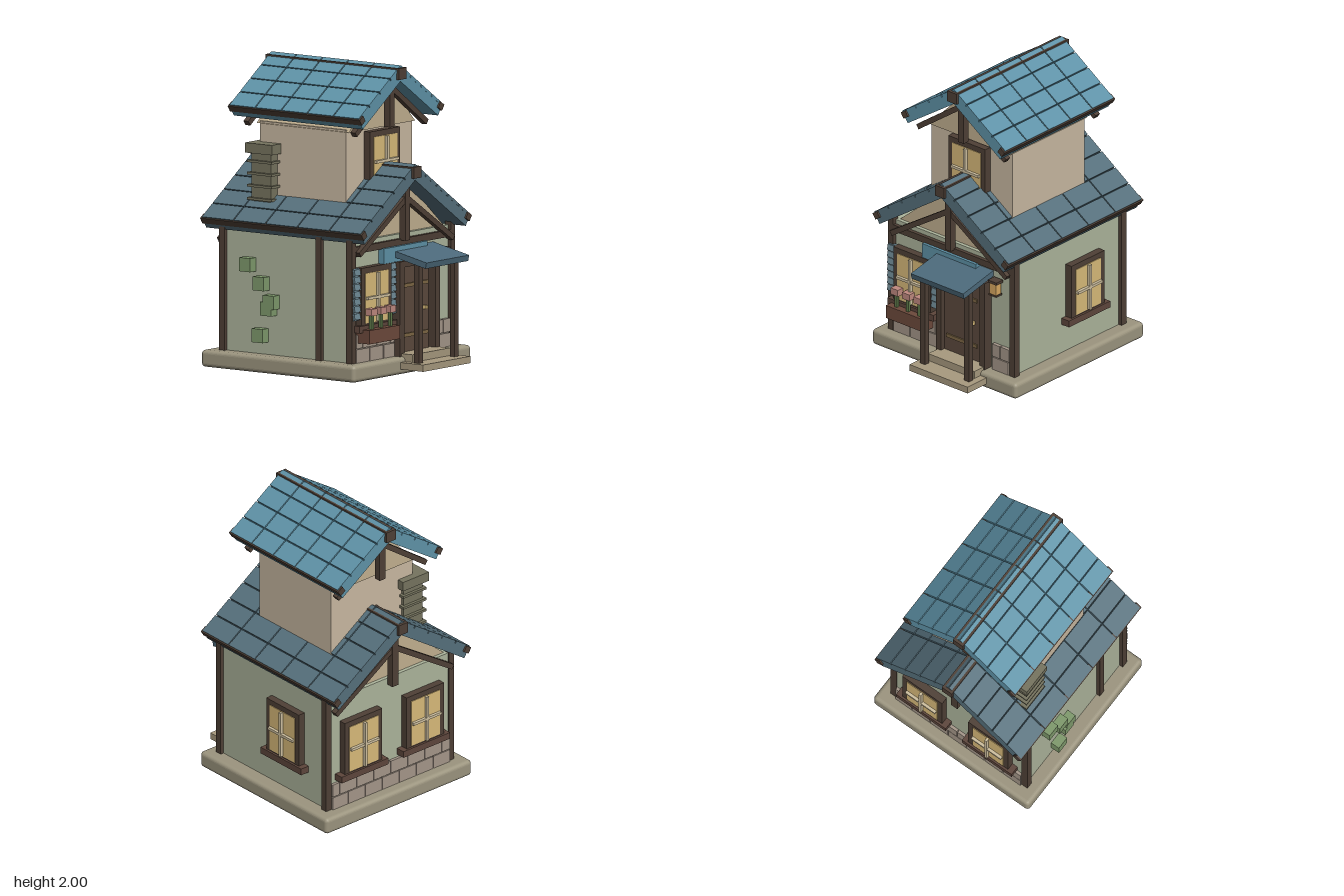
import * as THREE from 'three';
import { RoundedBoxGeometry } from 'three/addons/geometries/RoundedBoxGeometry.js';

const C = -0.075; // house centre in z
const COL = {
  base: 0x9c957f, step: 0xa89a7f, wall: 0xadb59c, plaster: 0xc9b9a2, gable: 0xc2b090,
  timber: 0x4f4036, sill: 0x5e463c, door: 0x5c493d, hinge: 0x7d6745, glass: 0xd9bb7a,
  muntin: 0xcfc0a0, lowRoof: 0x56707c, highRoof: 0x5f93a8, porch: 0x4d6b7c, chimney: 0x76745f,
  stone: 0xa5978a, shutter: 0x6b8590, planter: 0x6d4a3c, petal: 0xc08a80, stem: 0x5f7a4a,
  vine: 0x7f9a6c, lamp: 0xd8a860,
};
const mats = {};
const mat = (c) => (mats[c] ??= new THREE.MeshStandardMaterial({ color: COL[c], flatShading: true }));

function add(parent, name, geo, color, x = 0, y = 0, z = 0) {
  const m = new THREE.Mesh(geo, mat(color));
  m.name = name;
  m.position.set(x, y, z);
  parent.add(m);
  return m;
}
const box = (p, name, color, w, h, d, x, y, z) => add(p, name, new THREE.BoxGeometry(w, h, d), color, x, y, z);
// Box given by its limits on each axis
const span = (p, name, color, x0, x1, y0, y1, z0, z1) =>
  box(p, name, color, x1 - x0, y1 - y0, z1 - z0, (x0 + x1) / 2, (y0 + y1) / 2, (z0 + z1) / 2);

function group(parent, name, x = 0, y = 0, z = 0, ry = 0) {
  const g = new THREE.Group();
  g.name = name;
  g.position.set(x, y, z);
  g.rotation.y = ry;
  parent.add(g);
  return g;
}

// Gable roof: two tiled slopes, eave boards, ridge beam
function roof(parent, name, color, peak, half, depth, rows) {
  const a = Math.atan(0.67), L = half / Math.cos(a), cols = 5, gap = 0.008;
  const g = group(parent, name, 0, peak, C);
  for (const s of [-1, 1]) {
    const slope = group(g, 'roofSlope');
    slope.rotation.z = -s * a;
    box(slope, 'roofSlab', color, L, 0.07, depth - 0.01, s * L / 2, -0.053, 0);
    const tw = L / rows, td = depth / cols;
    for (let r = 0; r < rows; r++)
      for (let c = 0; c < cols; c++)
        box(slope, 'roofTile', color, tw - gap, 0.018, td - gap,
          s * (r + 0.5) * tw, -0.009, (c + 0.5) * td - depth / 2);
    box(slope, 'eaveBoard', 'timber', 0.046, 0.044, depth + 0.015, s * (L - 0.018), -0.028, 0);
  }
  box(g, 'ridgeBeam', 'timber', 0.08, 0.075, depth + 0.03, 0, -0.054, 0);
}

// Triangular gable block running through the house
function gable(parent, name, half, y0, y1, depth) {
  const s = new THREE.Shape([new THREE.Vector2(-half, y0), new THREE.Vector2(half, y0), new THREE.Vector2(0, y1)]);
  add(parent, name, new THREE.ExtrudeGeometry(s, { depth, bevelEnabled: false }), 'gable', 0, 0, C - depth / 2);
}

// King post with two sloping braces
function truss(parent, name, z, postY0, postY1, half, yTop, yEnd) {
  const g = group(parent, name, 0, 0, z);
  span(g, 'kingPost', 'timber', -0.025, 0.025, postY0, postY1, -0.024, 0.024);
  const len = Math.hypot(half, yTop - yEnd);
  for (const s of [-1, 1])
    box(g, 'brace', 'timber', len, 0.036, 0.04, s * half / 2, (yTop + yEnd) / 2, 0)
      .rotation.z = -s * Math.atan2(yTop - yEnd, half);
}

// Window facing local +z, with the wall at z = 0
function makeWindow(parent, name, x, y, z, ry, sill = true) {
  const g = group(parent, name, x, y, z, ry);
  for (const s of [-1, 1]) {
    box(g, 'frameSide', 'timber', 0.038, 0.4, 0.05, s * 0.141, 0, 0.025);
    box(g, 'frameRail', 'timber', 0.25, 0.038, 0.05, 0, s * 0.181, 0.025);
  }
  box(g, 'glass', 'glass', 0.246, 0.326, 0.055, 0, 0, 0.0275);
  box(g, 'muntinUpright', 'muntin', 0.018, 0.32, 0.03, 0, 0, 0.062);
  box(g, 'muntinCross', 'muntin', 0.24, 0.018, 0.03, 0, 0, 0.06);
  if (sill) box(g, 'sill', 'sill', 0.4, 0.045, 0.065, 0, -0.197, 0.0325);
}

// Two staggered courses of stone between x0 and x1
function stones(parent, x0, x1, z) {
  const w = 0.146, y0 = 0.11, h = 0.094;
  const g = group(parent, 'stoneCourse');
  for (let r = 0; r < 2; r++)
    for (let x = x0 - r * w / 2; x < x1 - 0.02; x += w) {
      const l = Math.max(x, x0), e = Math.min(x + w, x1);
      if (e - l > 0.015)
        span(g, 'stone', 'stone', l + 0.003, e - 0.003, y0 + r * h, y0 + (r + 1) * h - 0.006, z - 0.02, z + 0.02);
    }
}

export function createModel() {
  const house = new THREE.Group();
  house.name = 'house';

  // Base and ground floor
  add(house, 'base', new RoundedBoxGeometry(1.25, 0.11, 1.25, 3, 0.025), 'base', 0, 0.055, C);
  span(house, 'groundFloor', 'wall', -0.525, 0.525, 0.1, 0.9, -0.6, 0.45);
  for (const x of [-0.527, 0.527])
    for (const z of [-0.585, 0.452])
      span(house, 'cornerPost', 'timber', x - 0.023, x + 0.023, 0.11, 0.95, z - 0.023, z + 0.023);
  span(house, 'sidePost', 'timber', -0.55, -0.52, 0.11, 0.92, 0.18, 0.225);
  span(house, 'frontBeam', 'timber', -0.505, 0.505, 0.825, 0.87, 0.44, 0.475);
  stones(house, -0.505, -0.09, 0.455);
  stones(house, 0.35, 0.505, 0.455);
  stones(house, -0.505, 0.505, -0.6);

  // Lower roof
  gable(house, 'lowerGable', 0.5, 0.89, 1.31, 1.0);
  roof(house, 'lowerRoof', 'lowRoof', 1.365, 0.587, 1.3, 5);
  for (const s of [-1, 1]) truss(house, 'lowerTruss', C + s * 0.56, 0.86, 1.21, 0.5, 1.14, 0.82);

  // Upper floor and roof
  span(house, 'upperFloor', 'plaster', -0.35, 0.35, 1.04, 1.6, C - 0.35, C + 0.35);
  gable(house, 'upperGable', 0.352, 1.585, 1.94, 0.75);
  roof(house, 'upperRoof', 'highRoof', 2, 0.45, 1.06, 4);
  for (const s of [-1, 1]) truss(house, 'upperTruss', C + s * 0.435, 1.59, 1.9, 0.38, 1.85, 1.58);

  // Windows
  makeWindow(house, 'frontWindow', -0.32, 0.53, 0.45, 0);
  makeWindow(house, 'sideWindow', 0.525, 0.53, -0.208, Math.PI / 2);
  for (const s of [-1, 1]) makeWindow(house, 'backWindow', s * 0.265, 0.53, -0.6, Math.PI);
  makeWindow(house, 'upperWindow', 0, 1.37, 0.275, 0, false);

  // Louvred shutters
  for (const x of [-0.508, -0.133]) {
    const g = group(house, 'shutter', x, 0.56, 0.47);
    box(g, 'shutterPanel', 'shutter', 0.06, 0.34, 0.02, 0, 0, 0);
    for (let i = 0; i < 7; i++)
      box(g, 'slat', 'shutter', 0.066, 0.04, 0.014, 0, (i - 3) * 0.048, 0.014).rotation.x = -0.2;
  }

  // Planter with flowers
  span(house, 'planter', 'planter', -0.485, -0.16, 0.24, 0.33, 0.46, 0.568);
  for (const x of [-0.42, -0.32, -0.22]) {
    box(house, 'flowerStem', 'stem', 0.022, 0.1, 0.022, x, 0.375, 0.535);
    box(house, 'flower', 'petal', 0.062, 0.045, 0.05, x, 0.442, 0.535);
  }

  // Door
  span(house, 'door', 'door', -0.05, 0.255, 0.12, 0.685, 0.45, 0.485);
  for (const y of [0.238, 0.563]) box(house, 'doorHinge', 'hinge', 0.265, 0.024, 0.012, 0.105, y, 0.489);
  box(house, 'doorHandle', 'glass', 0.024, 0.024, 0.03, 0.203, 0.4, 0.496);
  for (const x of [-0.072, 0.305]) span(house, 'doorJamb', 'timber', x - 0.022, x + 0.022, 0.11, 0.72, 0.45, 0.52);
  span(house, 'doorHead', 'timber', -0.094, 0.327, 0.69, 0.73, 0.45, 0.52);

  // Porch
  span(house, 'lowerStep', 'step', -0.13, 0.372, 0.035, 0.08, 0.5, 0.735);
  span(house, 'upperStep', 'step', -0.08, 0.32, 0.08, 0.13, 0.45, 0.61);
  for (const x of [-0.073, 0.308]) span(house, 'porchPost', 'timber', x - 0.021, x + 0.021, 0.08, 0.74, 0.632, 0.672);
  box(house, 'porchRoof', 'porch', 0.455, 0.04, 0.3, 0.1175, 0.757, 0.595).rotation.x = 0.21;
  span(house, 'porchBackBoard', 'highRoof', -0.235, 0.23, 0.73, 0.83, 0.45, 0.495);

  // Lantern
  const lamp = group(house, 'lantern', 0.398, 0.715, 0.492);
  box(lamp, 'lanternGlass', 'lamp', 0.055, 0.08, 0.05, 0, 0, 0);
  box(lamp, 'lanternCap', 'timber', 0.075, 0.018, 0.065, 0, 0.048, 0);
  box(lamp, 'lanternFoot', 'timber', 0.065, 0.012, 0.058, 0, -0.045, 0);
  box(lamp, 'lanternArm', 'timber', 0.02, 0.02, 0.05, 0, 0.03, -0.03);

  // Chimney with brick bands
  const cx = -0.338, cz = -0.365;
  span(house, 'chimneyStack', 'chimney', cx - 0.08, cx + 0.08, 0.94, 1.41, cz - 0.08, cz + 0.08);
  for (const y of [1.1, 1.185, 1.265, 1.345]) box(house, 'chimneyBand', 'chimney', 0.2, 0.016, 0.2, cx, y, cz);
  box(house, 'chimneyCap', 'chimney', 0.22, 0.065, 0.22, cx, 1.432, cz);

  // Climbing vine
  for (const [y, z] of [[0.69, -0.37], [0.575, -0.26], [0.46, -0.18], [0.415, -0.2], [0.235, -0.27]])
    box(house, 'vineLeaf', 'vine', 0.07, 0.09, 0.09, -0.552, y, z);

  return house;
}
